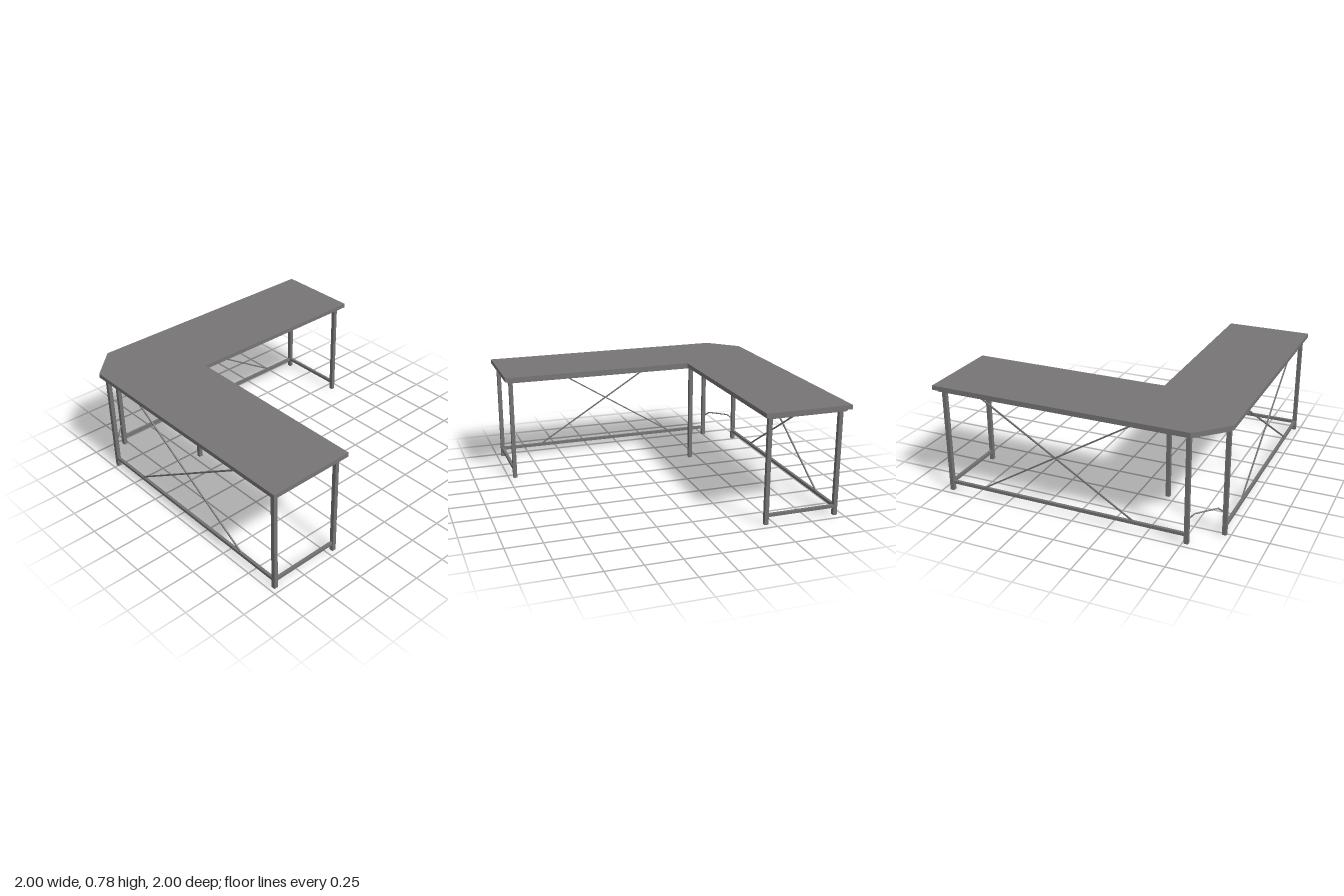
import * as THREE from 'three';

const topMat = new THREE.MeshStandardMaterial({ color: 0x777575 });
topMat.name = 'deskGrey';
const metalMat = new THREE.MeshStandardMaterial({ color: 0x737373 });
metalMat.name = 'metalGrey';

const RAIL_Y = 0.062;
const FRAME_Y = 0.733;
const SLAB_Y = 0.75;

export function createModel() {
  const model = new THREE.Group();
  model.name = 'cornerDesk';

  const add = (name, geometry, material) => {
    const mesh = new THREE.Mesh(geometry, material);
    mesh.name = name;
    model.add(mesh);
    return mesh;
  };

  // L-shaped outline with a clipped back corner, moved inward by d (shape y = -z)
  const outline = (d) => {
    const c = 0.8 - d * 0.414;
    const o = 1 - d;
    const i = -0.39 - d;
    return [[-o, -o], [i, -o], [i, -i], [o, -i], [o, o], [-c, o], [-o, c]]
      .map(([x, y]) => new THREE.Vector2(x, y));
  };
  const plate = (name, shape, y, depth, material) => {
    const g = new THREE.ExtrudeGeometry(shape, { depth, bevelEnabled: false });
    g.rotateX(-Math.PI / 2).translate(0, y, 0);
    add(name, g, material);
  };

  // Square or flat bar between two points
  const bar = (name, from, to, width, height) => {
    const a = new THREE.Vector3(...from);
    const b = new THREE.Vector3(...to);
    const mesh = add(name, new THREE.BoxGeometry(width, height, a.distanceTo(b)), metalMat);
    mesh.position.copy(a).lerp(b, 0.5);
    mesh.lookAt(b);
  };

  // Desk top and the frame ring beneath it
  plate('deskTop', new THREE.Shape(outline(0)), SLAB_Y, 0.03, topMat);
  const ring = new THREE.Shape(outline(0.024));
  ring.holes.push(new THREE.Path(outline(0.06).reverse()));
  plate('topFrame', ring, FRAME_Y, SLAB_Y - FRAME_Y, metalMat);

  // Legs
  const legs = {
    leftFrontLeg: [-0.959, 0.953],
    innerFrontLeg: [-0.45, 0.953],
    innerCornerLeg: [-0.45, -0.442],
    cornerSideLeg: [-0.959, -0.758],
    cornerBackLeg: [-0.775, -0.952],
    endBackLeg: [0.94, -0.948],
    endFrontLeg: [0.94, -0.442],
  };
  for (const [name, [x, z]] of Object.entries(legs)) {
    add(name, new THREE.BoxGeometry(0.028, SLAB_Y, 0.028), metalMat).position.set(x, SLAB_Y / 2, z);
  }

  // Low rails joining the legs
  const rails = [
    ['sideRail', 'leftFrontLeg', 'cornerSideLeg'],
    ['backRail', 'cornerBackLeg', 'endBackLeg'],
    ['frontEndRail', 'leftFrontLeg', 'innerFrontLeg'],
    ['wingEndRail', 'endBackLeg', 'endFrontLeg'],
  ];
  for (const [name, p, q] of rails) {
    const [px, pz] = legs[p];
    const [qx, qz] = legs[q];
    bar(name, [px, RAIL_Y, pz], [qx, RAIL_Y, qz], 0.02, 0.021);
  }

  // Crossed braces behind each wing
  for (const [y0, y1] of [[0.07, 0.737], [0.737, 0.07]]) {
    bar('backBrace', [-0.41, y0, -0.95], [0.675, y1, -0.95], 0.009, 0.009);
    bar('sideBrace', [-0.959, y0, -0.435], [-0.959, y1, 0.635], 0.009, 0.009);
  }

  // Bent rod across the clipped corner
  const bend = [[-0.95, 0.165, -0.765], [-0.92, 0.198, -0.795], [-0.81, 0.198, -0.915], [-0.782, 0.17, -0.945]]
    .map((p) => new THREE.Vector3(...p));
  const path = new THREE.CurvePath();
  for (let i = 0; i < 3; i++) path.add(new THREE.LineCurve3(bend[i], bend[i + 1]));
  add('cornerRod', new THREE.TubeGeometry(path, 30, 0.005, 8), metalMat);

  return model;
}
